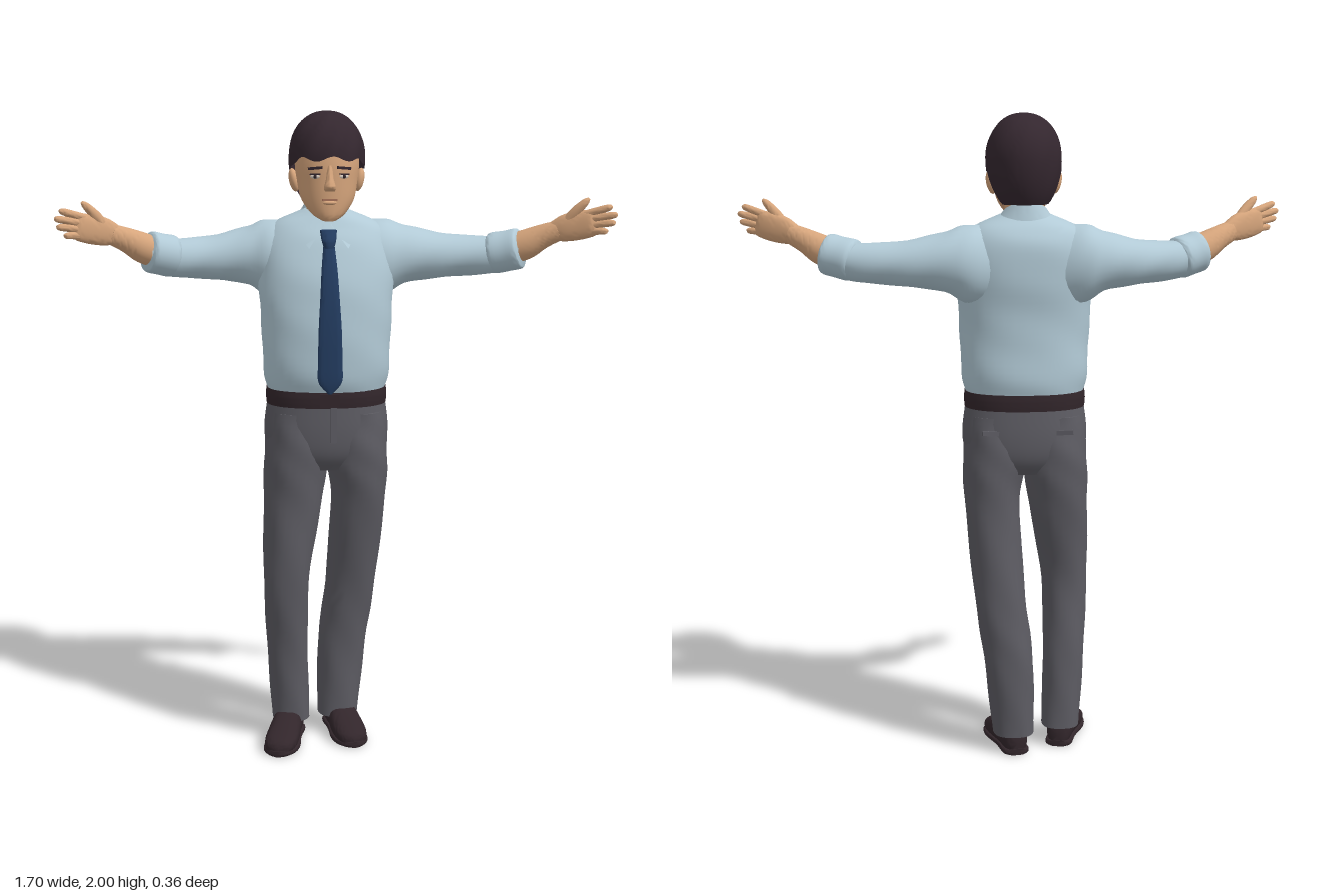
import * as THREE from 'three';
import { toCreasedNormals } from 'three/addons/utils/BufferGeometryUtils.js';

const mat = (name, color, side = THREE.FrontSide) => {
  const m = new THREE.MeshStandardMaterial({ color, side });
  m.name = name;
  return m;
};
const V = (x, y, z) => new THREE.Vector3(x, y, z);
const UP = V(0, 1, 0), FRONT = V(0, 0, 1);
const CX = -0.03; // middle line of the body

// Surface from f(u, v) -> Vector3, optionally joined around u
function grid(f, nu, nv, closed, crease = 0.9) {
  const pos = [], idx = [], cols = closed ? nu : nu + 1;
  for (let i = 0; i <= nv; i++)
    for (let j = 0; j < cols; j++) pos.push(...f(j / nu, i / nv).toArray());
  for (let i = 0; i < nv; i++)
    for (let j = 0; j < nu; j++) {
      const k = (j + 1) % cols, a = i * cols + j, b = i * cols + k;
      idx.push(a, b, b + cols, a, b + cols, a + cols);
    }
  const g = new THREE.BufferGeometry();
  g.setAttribute('position', new THREE.Float32BufferAttribute(pos, 3));
  g.setIndex(idx);
  return toCreasedNormals(g, crease);
}

// Capped loft through sections [x, y, z, halfSide, halfUp] whose rings face along dir
function loft(sections, dir, up, { e = 1, nu = 28, nv = 30, fold = 0 } = {}) {
  const curve = (pick) => new THREE.CatmullRomCurve3(sections.map(pick), false, 'catmullrom', 0.5);
  const centre = curve((s) => V(s[0], s[1], s[2]));
  const size = curve((s) => V(s[3], s[4], 0));
  const T = dir.clone().normalize();
  const A = up.clone().cross(T).normalize(), B = T.clone().cross(A);
  const pw = (c) => Math.sign(c) * Math.pow(Math.abs(c), e);
  return grid((u, v) => {
    const row = Math.round(v * nv), t = THREE.MathUtils.clamp((row - 1) / (nv - 2), 0, 1);
    const th = u * Math.PI * 2, r = size.getPoint(t);
    const k = row === 0 || row === nv ? 0 : 1 + fold * Math.sin(3 * th + 14 * t) * Math.sin(19 * t + th);
    return centre.getPoint(t)
      .addScaledVector(A, r.x * k * pw(Math.cos(th)))
      .addScaledVector(B, r.y * k * pw(Math.sin(th)));
  }, nu, nv, true);
}

export function createModel() {
  const root = new THREE.Group();
  root.name = 'officeWorker';
  const skin = mat('skin', 0xd6a57c), shirt = mat('shirt blue', 0xb2cad6);
  const collarMat = mat('collar blue', 0xb2cad6, THREE.DoubleSide);
  const cloth = mat('trouser grey', 0x5d5c63), hairMat = mat('hair', 0x34272f, THREE.DoubleSide);
  const leather = mat('dark leather', 0x32262b), tieMat = mat('tie navy', 0x233c60);
  const lip = mat('lip', 0xa8735a), white = mat('eye white', 0xd9cdc2);
  const add = (name, geo, m) => {
    const mesh = new THREE.Mesh(geo, m);
    mesh.name = name;
    root.add(mesh);
    return mesh;
  };
  const ball = (name, m, p, s) => {
    const b = add(name, new THREE.SphereGeometry(1, 20, 14), m);
    b.position.set(...p);
    b.scale.set(...s);
    return b;
  };
  const plate = (name, m, p, s, ry = 0, rz = 0) => {
    const b = add(name, new THREE.BoxGeometry(...s), m);
    b.position.set(...p);
    b.rotation.set(0, ry, rz);
    return b;
  };

  // Trousers
  add('rightTrouserLeg', loft([
    [-0.144, 0.065, -0.035, 0.059, 0.068], [-0.155, 0.3, -0.02, 0.064, 0.078],
    [-0.158, 0.55, 0.005, 0.073, 0.092], [-0.135, 0.8, -0.018, 0.094, 0.118],
    [-0.124, 0.95, -0.024, 0.1, 0.13], [-0.12, 1.08, -0.022, 0.09, 0.12],
  ], UP, FRONT, { e: 0.9, nv: 40, fold: 0.03 }), cloth);
  add('leftTrouserLeg', loft([
    [0.01, 0.06, -0.085, 0.064, 0.075], [0.025, 0.3, -0.09, 0.076, 0.084],
    [0.05, 0.5, -0.076, 0.08, 0.095], [0.072, 0.8, -0.036, 0.087, 0.12],
    [0.062, 0.95, -0.025, 0.1, 0.13], [0.06, 1.08, -0.022, 0.09, 0.12],
  ], UP, FRONT, { e: 0.9, nv: 40, fold: 0.03 }), cloth);
  add('trouserSeat', loft([
    [CX, 0.9, -0.025, 0.14, 0.1], [CX, 0.95, -0.025, 0.18, 0.127],
    [CX, 1.02, -0.024, 0.194, 0.135], [CX, 1.12, -0.021, 0.183, 0.131],
  ], UP, FRONT, { e: 0.87, nv: 16 }), cloth);
  plate('fly', cloth, [CX + 0.012, 1.05, 0.111], [0.02, 0.11, 0.008]);
  for (const s of [-1, 1])
    plate('backPocketFlap', cloth, [CX + s * 0.095, 1.035, -0.145], [0.09, 0.014, 0.009], s * 0.22, s * 0.08);

  // Belt and buckle
  add('belt', loft([
    [CX, 1.103, -0.021, 0.186, 0.136], [CX, 1.13, -0.021, 0.188, 0.138], [CX, 1.153, -0.021, 0.186, 0.136],
  ], UP, FRONT, { e: 0.87, nv: 8, nu: 40 }), leather);
  plate('buckle', leather, [CX, 1.128, 0.118], [0.06, 0.042, 0.009]);

  // Shoes: upper and sole from heel to toe
  for (const [side, hx, hz, tx, tz] of [['right', -0.132, -0.085, -0.2, 0.172], ['left', 0.002, -0.152, 0.052, 0.112]]) {
    const dir = V(tx - hx, 0, tz - hz);
    const at = (t, w, h) => [hx + dir.x * t, h / 2 + 0.002, hz + dir.z * t, w, h / 2];
    add(side + 'Shoe', loft([at(0, 0.022, 0.07), at(0.08, 0.038, 0.098), at(0.35, 0.044, 0.105),
      at(0.6, 0.051, 0.078), at(0.82, 0.05, 0.058), at(0.95, 0.036, 0.045), at(1, 0.012, 0.03)],
    dir, UP, { e: 0.8 }), leather);
    add(side + 'Sole', loft([at(-0.01, 0.026, 0.02), at(0.07, 0.042, 0.02), at(0.35, 0.044, 0.02),
      at(0.65, 0.056, 0.02), at(0.85, 0.052, 0.02), at(0.97, 0.032, 0.02), at(1.01, 0.012, 0.02)],
    dir, UP, { e: 0.5 }), leather);
  }

  // Shirt body
  add('shirtBody', loft([
    [CX, 1.135, -0.02, 0.178, 0.13], [CX, 1.2, -0.016, 0.193, 0.146], [CX, 1.3, -0.012, 0.198, 0.147],
    [CX, 1.4, -0.016, 0.204, 0.146], [CX, 1.5, -0.03, 0.21, 0.145], [CX, 1.6, -0.048, 0.198, 0.127],
    [CX, 1.655, -0.053, 0.165, 0.098], [CX, 1.69, -0.047, 0.09, 0.068], [CX, 1.7, -0.045, 0.065, 0.06],
  ], UP, FRONT, { e: 0.88, nu: 40, nv: 40, fold: 0.012 }), shirt);

  // Collar folded down to two points
  add('collar', grid((u, v) => {
    const ang = (gap) => THREE.MathUtils.lerp(gap, Math.PI * 2 - gap, u);
    const a = ang(0.12), b = ang(0.62), c = Math.max(0, Math.cos(b));
    const top = V(CX + 0.07 * Math.sin(a), 1.697 - 0.038 * Math.cos(a), -0.035 + 0.078 * Math.cos(a));
    const low = V(CX + 0.102 * Math.sin(b), 1.68 - 0.09 * Math.abs(2 * u - 1) ** 3,
      -0.035 + (0.092 + 0.072 * c) * Math.cos(b));
    return top.lerp(low, v);
  }, 48, 4, false), collarMat);

  // Tie
  add('tie', loft([
    [CX, 1.152, 0.135, 0.006, 0.004], [CX, 1.19, 0.137, 0.036, 0.008], [CX, 1.25, 0.139, 0.037, 0.008],
    [CX, 1.35, 0.139, 0.035, 0.008], [CX, 1.45, 0.131, 0.029, 0.009], [CX, 1.53, 0.115, 0.024, 0.01],
    [CX, 1.61, 0.091, 0.016, 0.01],
  ], UP, FRONT, { e: 0.8 }), tieMat);
  add('tieKnot', loft([
    [CX, 1.592, 0.098, 0.015, 0.013], [CX, 1.615, 0.092, 0.022, 0.017], [CX, 1.645, 0.072, 0.026, 0.015],
  ], UP, FRONT, { nv: 10 }), tieMat);

  // Arms: sleeve, rolled cuff, forearm and hand
  for (const [side, s] of [['right', -1], ['left', 1]]) {
    const shift = (x) => (s > 0 ? 0.06 * THREE.MathUtils.clamp((0.56 - x) / 0.36, 0, 1) : 0);
    const m = (list) => list.map(([x, ...r]) => [s * (x - shift(x)), ...r]);
    add(side + 'Sleeve', loft(m([
      [0.1, 1.53, -0.05, 0.09, 0.125], [0.2, 1.545, -0.07, 0.108, 0.123], [0.27, 1.555, -0.079, 0.097, 0.09],
      [0.38, 1.55, -0.072, 0.08, 0.067], [0.5, 1.553, -0.045, 0.066, 0.058], [0.56, 1.567, -0.022, 0.054, 0.05],
    ]), V(s, 0, 0), UP, { fold: 0.03 }), shirt);
    add(side + 'Cuff', loft(m([
      [0.497, 1.557, -0.044, 0.06, 0.056], [0.507, 1.559, -0.04, 0.068, 0.064],
      [0.54, 1.567, -0.024, 0.066, 0.063], [0.568, 1.575, -0.011, 0.066, 0.063], [0.575, 1.577, -0.008, 0.058, 0.055],
    ]), V(s * 0.9, 0.2, 0.4), UP, { nv: 16 }), shirt);
    add(side + 'Forearm', loft(m([
      [0.52, 1.56, -0.035, 0.045, 0.046], [0.59, 1.588, -0.006, 0.043, 0.046],
      [0.64, 1.615, 0.014, 0.033, 0.037], [0.685, 1.635, 0.035, 0.024, 0.031],
    ]), V(s * 0.17, 0.07, 0.065), UP), skin);
    const dir = V(s * 0.165, 0.045, 0.09);
    add(side + 'Palm', loft(m([
      [0.665, 1.63, 0.025, 0.02, 0.029], [0.7, 1.642, 0.045, 0.021, 0.041], [0.74, 1.652, 0.065, 0.019, 0.044],
      [0.775, 1.661, 0.084, 0.015, 0.041], [0.786, 1.664, 0.09, 0.008, 0.034],
    ]), dir, UP, { e: 0.9, nv: 18 }), skin);
    const fingers = [[1.69, 0.832, 1.712, 0.112], [1.672, 0.846, 1.69, 0.122], [1.653, 0.84, 1.666, 0.121], [1.635, 0.82, 1.64, 0.112]];
    for (const [y0, x, y, z] of fingers)
      add(side + 'Finger', loft(m([
        [0.755, y0 - 0.003, 0.074, 0.011, 0.011], [(0.765 + x) / 2, (y0 + y) / 2, (0.08 + z) / 2, 0.011, 0.0115],
        [x - 0.008, y - 0.002, z - 0.004, 0.009, 0.0095], [x, y, z, 0.003, 0.003],
      ]), dir, UP, { nu: 12, nv: 12 }), skin);
    add(side + 'Thumb', loft(m([
      [0.698, 1.652, 0.046, 0.015, 0.018], [0.728, 1.693, 0.064, 0.014, 0.016],
      [0.756, 1.724, 0.076, 0.011, 0.011], [0.767, 1.735, 0.08, 0.003, 0.004],
    ]), V(s * 0.7, 0.75, 0.3), UP, { nu: 12, nv: 14 }), skin);
  }

  // Neck and head
  const HX = -0.028;
  add('neck', loft([[HX, 1.6, -0.045, 0.064, 0.064], [HX, 1.68, -0.036, 0.06, 0.063], [HX, 1.77, -0.03, 0.062, 0.07]],
    UP, FRONT, { nv: 10 }), skin);
  add('head', loft([
    [HX, 1.673, 0.072, 0.02, 0.024], [HX, 1.692, 0.046, 0.05, 0.057], [HX, 1.735, 0.018, 0.08, 0.087],
    [HX, 1.79, 0, 0.092, 0.106], [HX, 1.85, -0.006, 0.098, 0.11], [HX, 1.92, -0.012, 0.088, 0.1],
    [HX, 1.97, -0.012, 0.04, 0.05],
  ], UP, FRONT, { e: 0.94 }), skin);
  add('nose', loft([
    [HX, 1.763, 0.1, 0.016, 0.01], [HX, 1.776, 0.108, 0.018, 0.022], [HX, 1.8, 0.103, 0.012, 0.018],
    [HX, 1.84, 0.095, 0.009, 0.011],
  ], UP, FRONT, { nu: 16, nv: 14 }), skin);
  plate('mouth', lip, [HX, 1.738, 0.106], [0.046, 0.006, 0.008]);
  ball('lowerLip', skin, [HX, 1.729, 0.1], [0.022, 0.007, 0.01]);
  for (const s of [-1, 1]) {
    const x = HX + s * 0.043;
    ball('ear', skin, [HX + s * 0.1, 1.79, -0.018], [0.015, 0.036, 0.023]).rotation.z = -s * 0.2;
    ball('eye', white, [x, 1.807, 0.094], [0.016, 0.007, 0.006]).rotation.y = s * 0.35;
    ball('iris', leather, [x, 1.807, 0.098], [0.006, 0.006, 0.004]);
    plate('upperLid', hairMat, [x, 1.814, 0.096], [0.032, 0.004, 0.009], s * 0.35, -s * 0.05);
    plate('brow', hairMat, [x, 1.832, 0.098], [0.044, 0.008, 0.009], s * 0.35, -s * 0.1);
  }

  // Hair cap: runs from the crown to a hairline that drops behind the ears
  add('hair', grid((u, v) => {
    const a = u * Math.PI * 2, c = Math.cos(a);
    const sideburn = Math.exp(-(((Math.abs(Math.sin(a)) - 1) / 0.03) ** 2));
    const back = THREE.MathUtils.smoothstep(-c, 0.05, 0.6);
    const front = THREE.MathUtils.smoothstep(c, 0.3, 0.8);
    const edge = 1.838 + 0.022 * front - 0.015 * sideburn - 0.112 * back + 0.008 * front * Math.sin(7 * a + 1);
    const drop = edge - 1.86;
    const end = Math.acos(THREE.MathUtils.clamp(drop / (drop < 0 ? 0.19 : 0.14), -1, 1));
    const p = v * end, ry = Math.cos(p) < 0 ? 0.19 : 0.138;
    const lock = 1 + 0.022 * Math.sin(p) * Math.sin(9 * a + 5 * p) * (0.35 + 0.65 * Math.max(0, c));
    const r = Math.sin(p) ** 0.9 * lock;
    return V(HX + 0.116 * r * Math.sin(a), 1.86 + ry * Math.cos(p) * (1 + (lock - 1) * 0.5), -0.013 + 0.14 * r * c);
  }, 72, 24, true, 1.2).rotateY(0), hairMat).geometry.computeBoundingSphere();

  return root;
}
